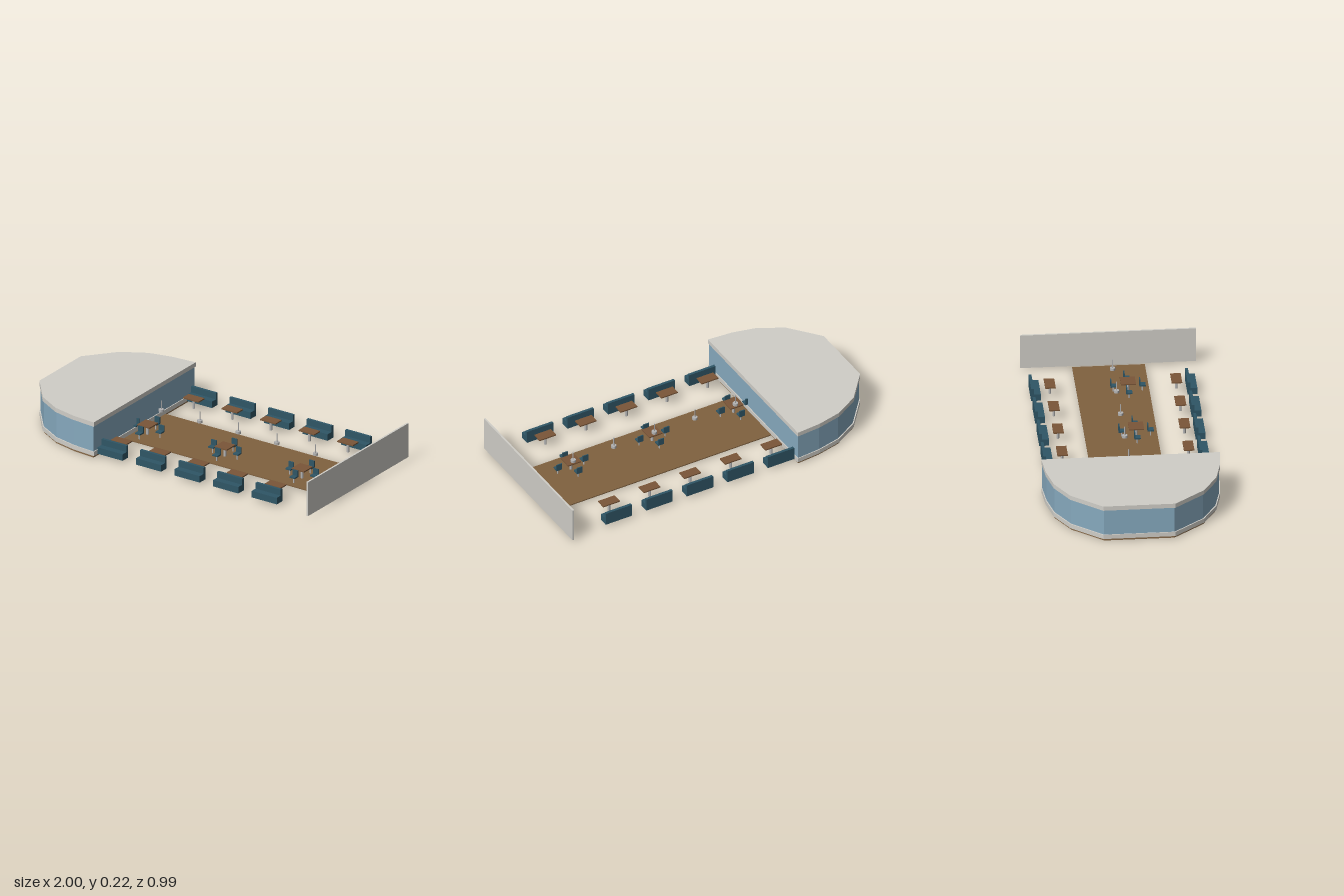
import * as THREE from 'three';

const mat = (color) => new THREE.MeshStandardMaterial({ color, flatShading: true });
const M = {
  shell: mat(0xd0cec8), glass: mat(0x86a9be), floor: mat(0x8a6d4c), carpet: mat(0x80613f),
  wood: mat(0x7a5638), fabric: mat(0x2f5666), metal: mat(0xb4b4b4),
};

// Box given by its centre in x and z and its lower and upper y
function box(name, m, w, y0, y1, d, x = 0, z = 0) {
  const mesh = new THREE.Mesh(new THREE.BoxGeometry(w, y1 - y0, d), m);
  mesh.name = name;
  mesh.position.set(x, (y0 + y1) / 2, z);
  return mesh;
}

function rod(name, m, r, y0, y1, x = 0, z = 0) {
  const mesh = new THREE.Mesh(new THREE.CylinderGeometry(r, r, y1 - y0, 12), m);
  mesh.name = name;
  mesh.position.set(x, (y0 + y1) / 2, z);
  return mesh;
}

function group(name, x, z, ...parts) {
  const g = new THREE.Group();
  g.name = name;
  g.position.set(x, 0, z);
  if (parts.length) g.add(...parts);
  return g;
}

// Half outline of the rounded end room, mirrored across z
const OUTLINE = [[-0.432, 0.494], [-0.58, 0.482], [-0.72, 0.45], [-0.86, 0.37], [-1, 0.2]];

function roomLayer(name, m, y0, y1, inset) {
  const half = OUTLINE.map(([x, z], i) =>
    new THREE.Vector2(i === 0 ? x - inset : x + inset * 0.8, z - inset));
  const mirrored = half.map((p) => new THREE.Vector2(p.x, -p.y)).reverse();
  const geo = new THREE.ExtrudeGeometry(new THREE.Shape([...half, ...mirrored]),
    { depth: y1 - y0, bevelEnabled: false });
  geo.rotateX(-Math.PI / 2).translate(0, y0, 0);
  const mesh = new THREE.Mesh(geo, m);
  mesh.name = name;
  return mesh;
}

const bench = (x, z) => group('bench', x, z,
  box('benchSeat', M.fabric, 0.168, 0.015, 0.054, 0.054),
  box('benchBack', M.fabric, 0.168, 0.054, 0.09, 0.016, 0, -0.019));

const sideTable = (x, z) => group('sideTable', x, z,
  box('sideTableTop', M.wood, 0.105, 0.07, 0.077, 0.058),
  rod('sideTablePedestal', M.metal, 0.008, 0.013, 0.07));

const chair = (x, z) => group('chair', x, z,
  box('chairSeat', M.fabric, 0.035, 0.045, 0.053, 0.035),
  box('chairBack', M.fabric, 0.035, 0.053, 0.085, 0.006, 0, -0.0145),
  rod('chairPedestal', M.metal, 0.004, 0.013, 0.045));

function diningSet(x, z) {
  const g = group('diningSet', x, z,
    box('diningTableTop', M.wood, 0.083, 0.07, 0.077, 0.083),
    rod('diningTablePedestal', M.metal, 0.008, 0.013, 0.07));
  for (const s of [-1, 1]) g.add(chair(s * 0.083, 0), chair(0, s * 0.08));
  return g;
}

const lamp = (x) => group('pendantLamp', x, 0,
  rod('lampShade', M.metal, 0.015, 0.129, 0.144),
  rod('lampRod', M.metal, 0.003, 0.144, 0.195));

export function createModel() {
  const root = group('diningHall', 0, 0);

  // Rounded glazed room at the end
  root.add(group('endRoom', 0, 0,
    roomLayer('roomFloor', M.floor, 0, 0.012, 0.006),
    roomLayer('lowerBand', M.shell, 0.012, 0.038, 0),
    roomLayer('glassWall', M.glass, 0.038, 0.19, 0.005),
    roomLayer('roof', M.shell, 0.19, 0.216, 0)));

  // Central walkway and far end wall
  root.add(box('walkway', M.carpet, 1.407, 0.007, 0.013, 0.402, 0.2715));
  root.add(box('endWall', M.shell, 0.011, 0.012, 0.216, 0.974, 0.9945));

  // Rows of benches, side tables and lamps
  for (let i = 0; i < 5; i++) {
    const x = -0.346 + i * 0.2585;
    for (const s of [-1, 1]) root.add(bench(x, s * 0.433), sideTable(x, s * 0.35));
    root.add(lamp(x + 0.025));
  }

  // Square tables with four chairs each
  for (let i = 0; i < 3; i++) root.add(diningSet(-0.356 + i * 0.518, 0.082));

  return root;
}
